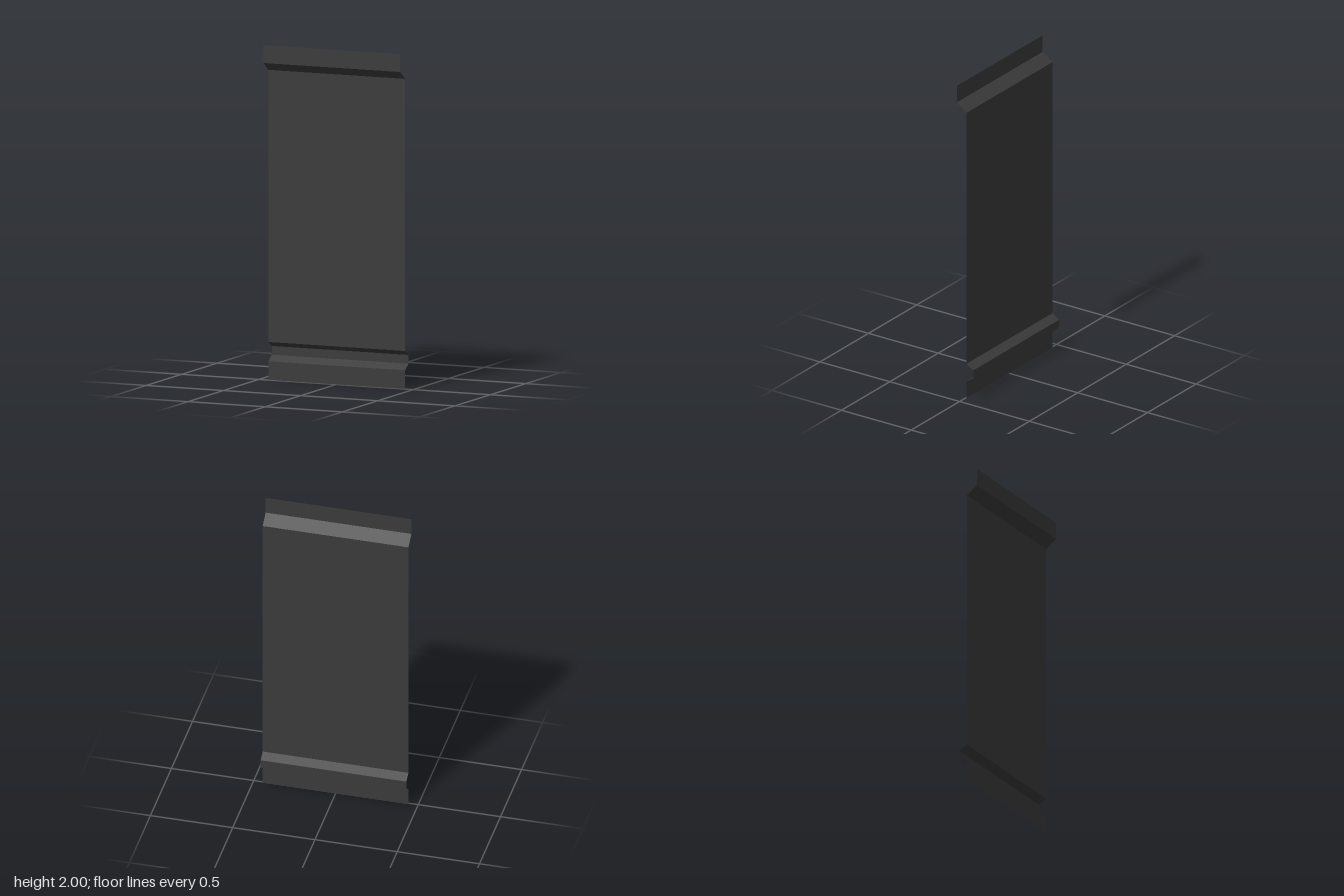
import * as THREE from 'three';

const WIDTH = 0.886;

// Flat strip of sheet between two [z, y] profile points, lower point first
function strip(name, [z0, y0], [z1, y1], material) {
  const dz = z1 - z0, dy = y1 - y0;
  const geometry = new THREE.PlaneGeometry(WIDTH, Math.hypot(dz, dy));
  geometry.rotateX(Math.atan2(dz, dy));
  geometry.translate(0, (y0 + y1) / 2, (z0 + z1) / 2);
  const mesh = new THREE.Mesh(geometry, material);
  mesh.name = name;
  return mesh;
}

export function createModel() {
  const group = new THREE.Group();
  group.name = 'foldedSheetPanel';
  const darkGrey = new THREE.MeshStandardMaterial({ color: 0x3b3b3b, side: THREE.DoubleSide });
  darkGrey.name = 'dark grey';

  // Folded profile from the bottom edge to the top edge, as [z, y]
  const profile = [
    [-0.01, 0], [-0.01, 0.11], [-0.059, 0.143], [-0.059, 0.195],
    [-0.01, 0.225], [-0.01, 1.844], [0.059, 1.894], [0.059, 2],
  ];
  const names = [
    'bottomFlange', 'grooveLowerSlope', 'grooveBack', 'grooveUpperSlope',
    'mainPanel', 'topSlope', 'topFlange',
  ];
  names.forEach((name, i) => group.add(strip(name, profile[i], profile[i + 1], darkGrey)));
  return group;
}
